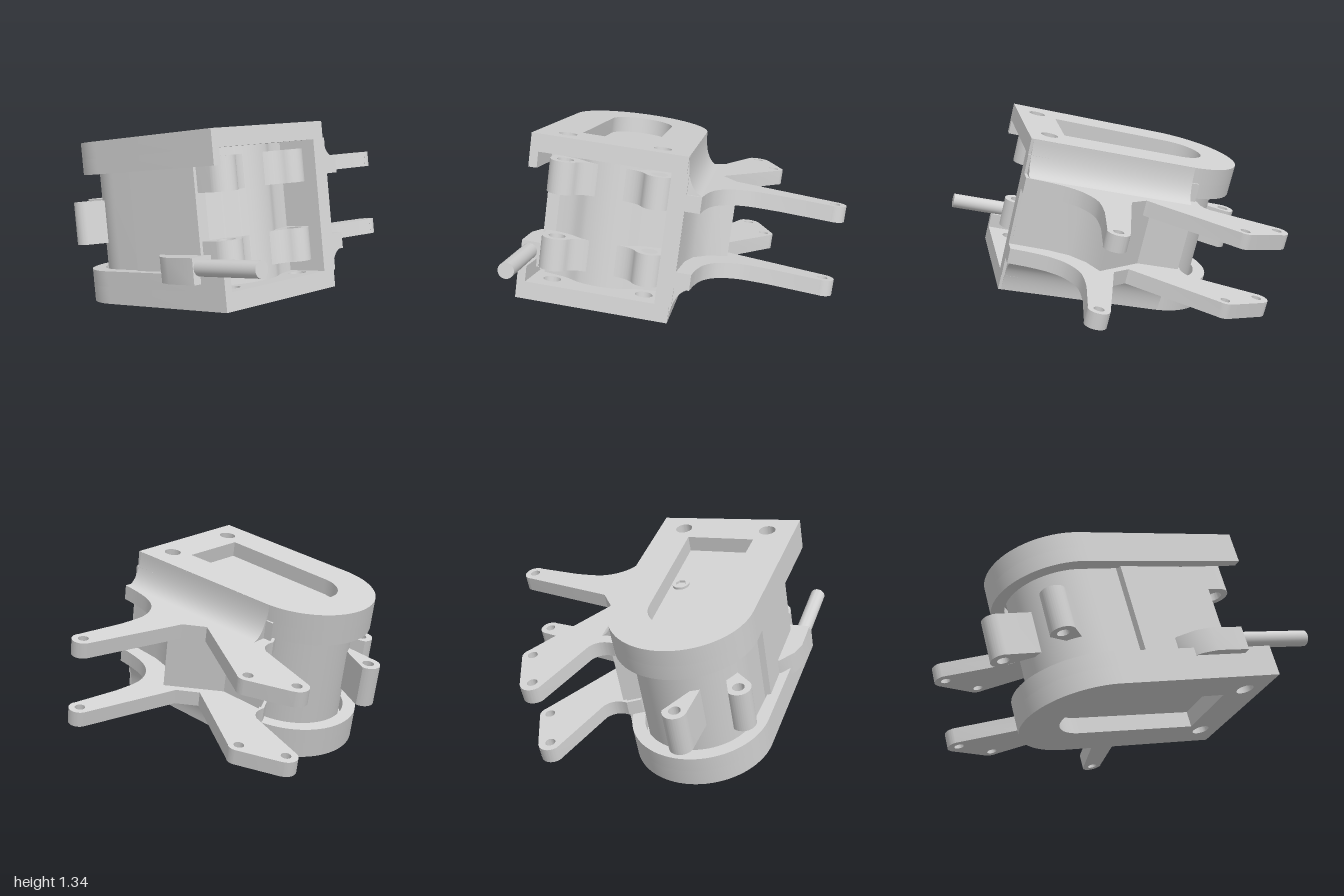
import * as THREE from 'three';
import { toCreasedNormals } from 'three/addons/utils/BufferGeometryUtils.js';

// Bracket width, height, centre line, end radius and end centre
const W = 0.917, H = 0.992, MID = W / 2, R = 0.438, CV = 1.028;

export function createModel() {
  const model = new THREE.Group();
  model.name = 'motorBracket';
  const grey = new THREE.MeshStandardMaterial({ color: 0xd2d2d2 });
  grey.name = 'light grey';

  // Everything is laid out in bracket space: x across, y from front to back, z up through the plates.
  const body = new THREE.Group();
  body.name = 'tiltedAssembly';
  body.quaternion.setFromRotationMatrix(new THREE.Matrix4().makeBasis(
    new THREE.Vector3(0.987, -0.099, 0.131),
    new THREE.Vector3(0.107, -0.220, -0.970),
    new THREE.Vector3(0.125, 0.971, -0.207)));
  body.position.set(-0.96, 0.385, 0.70);
  model.add(body);

  const add = (name, geo) => {
    const mesh = new THREE.Mesh(toCreasedNormals(geo, 0.6), grey);
    mesh.name = name;
    body.add(mesh);
  };
  const slab = (name, shape, w0, w1) => {
    const geo = new THREE.ExtrudeGeometry(shape, { depth: w1 - w0, bevelEnabled: false, curveSegments: 20 });
    geo.translate(0, 0, w0);
    add(name, geo);
  };
  const vecs = (pts) => pts.map(([x, y]) => new THREE.Vector2(x, y));
  const poly = (pts) => new THREE.Shape(vecs(pts));
  const hole = (shape, x, y, r) => {
    shape.holes.push(new THREE.Path().absarc(x, y, r, 0, Math.PI * 2, true));
    return shape;
  };

  // Outer skin of a plate: flat front, round back, long window and two screw holes
  const plate = () => {
    const s = new THREE.Shape();
    s.moveTo(0, 0);
    s.lineTo(W, 0);
    s.absarc(MID, CV, R, 0, Math.PI, false);
    s.lineTo(0, 0);
    const win = new THREE.Path();
    win.moveTo(0.24, 0.255);
    win.absarc(MID, CV, 0.199, Math.PI, 0, true);
    win.lineTo(0.677, 0.245);
    win.lineTo(0.24, 0.255);
    s.holes.push(win);
    hole(s, 0.18, 0.138, 0.053);
    return hole(s, 0.743, 0.138, 0.053);
  };
  // Rim that wraps the motor, open at the front
  const rim = () => {
    const s = new THREE.Shape();
    s.moveTo(0, 0);
    s.lineTo(0.05, 0);
    s.absarc(MID, CV, 0.355, Math.PI, 0, true);
    s.lineTo(0.83, 0);
    s.lineTo(W, 0);
    s.absarc(MID, CV, R, 0, Math.PI, false);
    s.lineTo(0, 0);
    return s;
  };
  // Pair of arms: a straight forward one and a wide rear one
  const arms = () => {
    const s = new THREE.Shape();
    s.moveTo(0.83, 0);
    s.lineTo(1.02, 0);
    s.splineThru(vecs([[1.035, 0.13], [1.068, 0.25], [1.139, 0.346], [1.267, 0.405], [1.458, 0.402]]));
    s.lineTo(1.765, 0.352);
    s.absarc(1.778, 0.414, 0.066, -1.8, 1.35, false);
    s.lineTo(1.161, 0.634);
    s.lineTo(1.068, 0.752);
    s.lineTo(1.405, 1.27);
    s.absarc(1.358, 1.313, 0.065, -0.6, 0.4, false);
    s.lineTo(1.305, 1.60);
    s.absarc(1.237, 1.568, 0.073, 0.4, 2.6, false);
    s.lineTo(1.035, 1.19);
    s.quadraticCurveTo(0.99, 1.12, 0.90, 1.14);
    s.lineTo(0.82, 1.10);
    for (const [x, y] of [[1.775, 0.414], [1.358, 1.313], [1.237, 1.568]]) hole(s, x, y, 0.031);
    return s;
  };

  // Top and bottom halves mirror each other about mid height
  for (const top of [false, true]) {
    const side = top ? 'upper' : 'lower';
    const m = (w) => (top ? H - w : w);
    const layer = (name, shape, a, b) => slab(side + name, shape, Math.min(m(a), m(b)), Math.max(m(a), m(b)));
    layer('Plate', plate(), 0, 0.105);
    layer('Rim', rim(), 0.105, 0.20);
    layer('Arms', arms(), 0.218, 0.315);
    // Concave flare from the plate edge out to the arms, following the plate's slight taper
    const f = new THREE.Shape();
    f.moveTo(0.86, m(0.003));
    f.lineTo(W, m(0.003));
    f.quadraticCurveTo(0.925, m(0.19), 1.02, m(0.219));
    f.lineTo(0.86, m(0.219));
    const flare = new THREE.ExtrudeGeometry(f, { depth: 1.05, bevelEnabled: false, curveSegments: 14 });
    flare.rotateX(Math.PI / 2);
    flare.translate(0, 1.05, 0);
    flare.rotateZ(0.02);
    add(side + 'Flare', flare);
  }

  // Side wall, and the angular web that braces the arms
  slab('sideWall', poly([[0.83, 0], [0.93, 0], [0.905, 1.12], [0.82, 1.08]]), 0.1, H - 0.1);
  slab('armWeb', poly([[0.85, 0.02], [0.93, 0.02], [0.945, 0.25], [0.98, 0.38], [1.06, 0.475],
    [1.178, 0.54], [0.935, 0.84], [0.93, 1.12], [0.85, 1.08]]), 0.3, H - 0.3);

  // Motor housing: gently bulging front, straight sides, round back
  const motor = new THREE.Shape();
  motor.moveTo(0.10, 0.25);
  motor.splineThru(vecs([[0.24, 0.215], [0.34, 0.16], [MID, 0.14], [0.58, 0.16], [0.68, 0.215], [0.81, 0.25]]));
  motor.absarc(MID, CV - 0.02, 0.35, 0, Math.PI, false);
  motor.lineTo(0.10, 0.25);
  slab('motorHousing', motor, 0.10, H - 0.10);
  slab('motorSideCover', poly([[0.07, 0.24], [0.2, 0.24], [0.2, 0.84], [0.07, 0.80]]), 0.12, H - 0.12);

  // Front screw ears: rounded tabs whose inner side sweeps into the housing
  for (const [w0, w1] of [[0.18, 0.375], [0.645, 0.84]]) {
    for (const [x, d] of [[0.18, 1], [0.743, -1]]) {
      const s = new THREE.Shape();
      s.moveTo(x - 0.09 * d, 0.36);
      s.lineTo(x - 0.09 * d, 0.138);
      s.absarc(x, 0.138, 0.09, d > 0 ? Math.PI : 0, d > 0 ? -0.5 : Math.PI + 0.5, d < 0);
      s.quadraticCurveTo(x + 0.11 * d, 0.15, x + 0.20 * d, 0.15);
      s.lineTo(x + 0.20 * d, 0.36);
      slab('frontEar', hole(s, x, 0.138, 0.05), w0, w1);
    }
  }

  // Rear screw ears: tabs that widen towards the round end of the housing
  const rearEar = (x, y, tx, ty, base) => {
    const r = 0.075, a = Math.atan2(y - ty, x - tx), c = Math.cos(a), n = Math.sin(a);
    const s = new THREE.Shape();
    s.moveTo(tx + n * base, ty - c * base);
    s.absarc(x, y, r, a - Math.PI / 2, a + Math.PI / 2, false);
    s.lineTo(tx - n * base, ty + c * base);
    slab('rearEar', hole(s, x, y, 0.036), 0.36, 0.625);
  };
  rearEar(0.392, 1.525, 0.42, 1.25, 0.12);
  rearEar(0.09, 1.272, 0.30, 1.12, 0.09);

  // Cable and its gland on the left side
  slab('cableGland', poly([[0.12, 0.18], [-0.045, 0.19], [-0.045, 0.40], [-0.015, 0.49], [0.06, 0.58], [0.12, 0.60]]), 0.15, 0.30);
  const cable = new THREE.CylinderGeometry(0.048, 0.048, 0.55, 24);
  cable.translate(0.008, 0, 0.24);
  add('cable', cable);

  // Socket screw on the window floor
  const ring = new THREE.Shape().absarc(0.603, 0.658, 0.052, 0, Math.PI * 2, false);
  const hex = [0, 1, 2, 3, 4, 5].map((i) => new THREE.Vector2(
    0.603 + 0.034 * Math.cos(-i * Math.PI / 3), 0.658 + 0.034 * Math.sin(-i * Math.PI / 3)));
  ring.holes.push(new THREE.Path(hex));
  slab('socketScrew', ring, H - 0.10, H - 0.085);

  return model;
}
